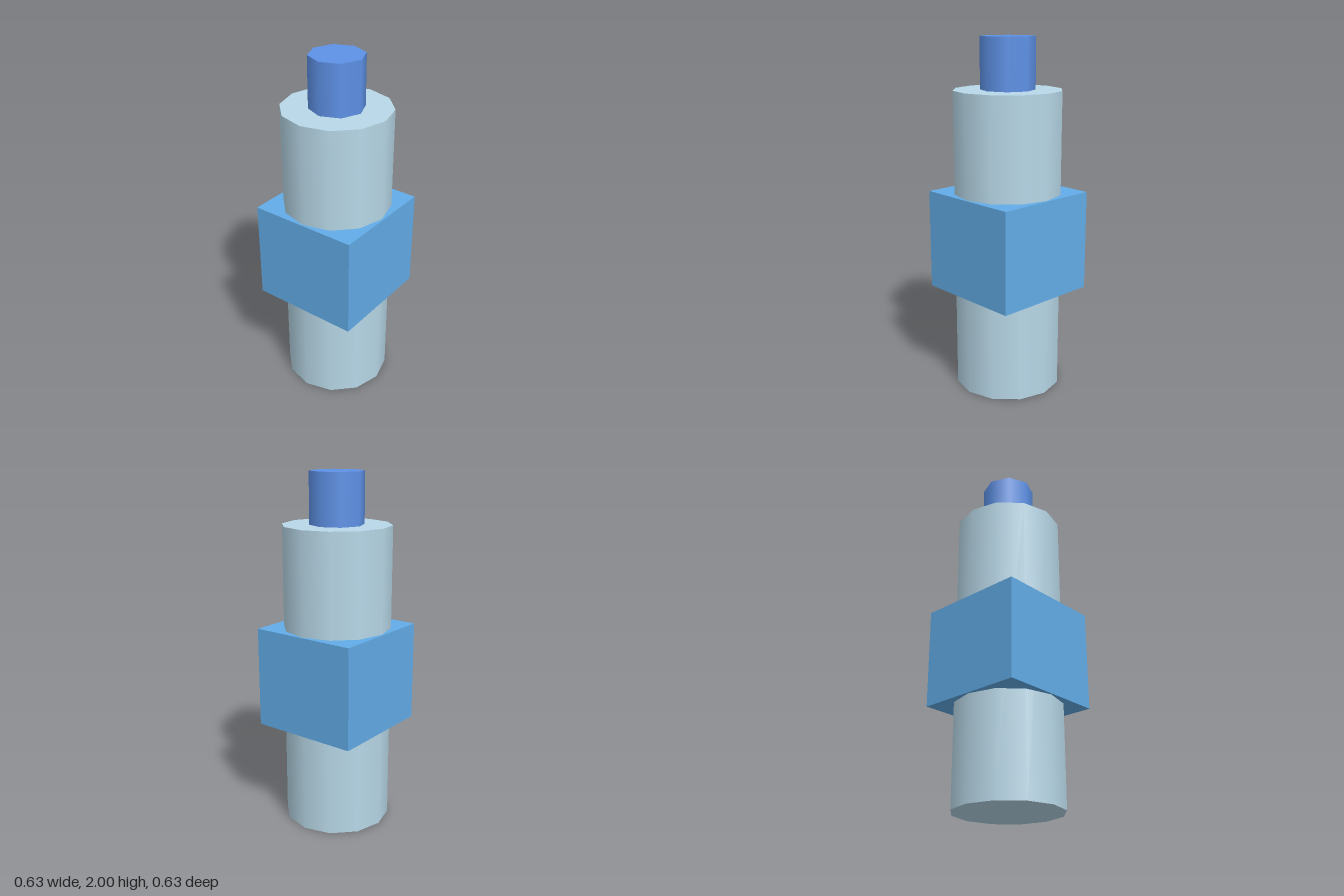
import * as THREE from 'three';

export function createModel() {
  const group = new THREE.Group();
  group.name = 'collaredCylinder';

  const paint = (name, color) => {
    const material = new THREE.MeshStandardMaterial({ color });
    material.name = name;
    return material;
  };
  const paleBlue = paint('pale blue', 0xb8d8e8);
  const skyBlue = paint('sky blue', 0x64b0ec);
  const deepBlue = paint('deep blue', 0x6095ec);

  // Adds a part spanning the heights y0 to y1
  const add = (name, geometry, material, y0, y1) => {
    const mesh = new THREE.Mesh(geometry, material);
    mesh.name = name;
    mesh.position.y = (y0 + y1) / 2;
    group.add(mesh);
  };

  const collarBottom = 0.573, collarTop = 1.143, bodyTop = 1.715;

  // Twelve-sided body running through the collar
  add('body', new THREE.CylinderGeometry(0.305, 0.305, bodyTop, 12), paleBlue, 0, bodyTop);

  // Square collar
  add('collar', new THREE.BoxGeometry(0.63, collarTop - collarBottom, 0.63), skyBlue, collarBottom, collarTop);

  // Eight-sided pin on top
  add('topPin', new THREE.CylinderGeometry(0.152, 0.152, 2 - bodyTop, 8), deepBlue, bodyTop, 2);

  return group;
}
